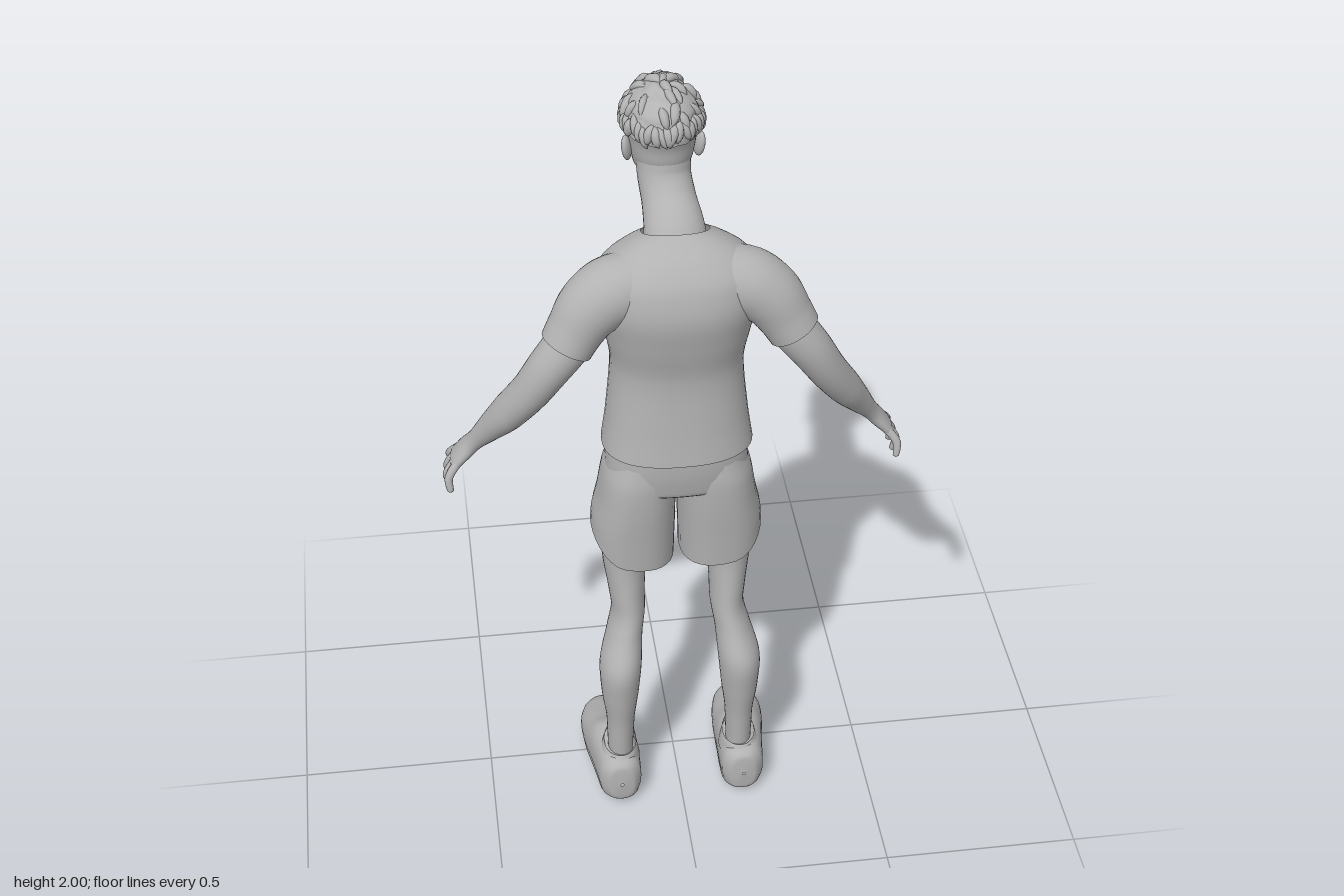
import * as THREE from 'three';

const V = (x, y, z) => new THREE.Vector3(x, y, z);
const UP = V(0, 1, 0);
const FORWARD = V(0, 0, -1); // the figure faces -z
const HX = -0.012;           // head centre line
const material = new THREE.MeshStandardMaterial({ color: 0xb2b2b2, side: THREE.DoubleSide });
material.name = 'plain grey';

// Smooth skin through oval sections [x, y, z, radiusU, radiusV].
// With axis given all sections are parallel, otherwise they follow the path.
function loft(name, rows, { axis = null, sides = 32, steps = 5, power = 2, warp = null } = {}) {
  const path = new THREE.CatmullRomCurve3(rows.map(r => V(r[0], r[1], r[2])));
  const radii = new THREE.CatmullRomCurve3(rows.map(r => V(r[3], r[4], 0)));
  const count = (rows.length - 1) * steps;
  const round = c => Math.sign(c) * Math.pow(Math.abs(c), 2 / power);
  const pos = [], index = [];
  for (let i = 0; i <= count; i++) {
    const k = i / count, c = path.getPoint(k), r = radii.getPoint(k);
    const t = axis ? axis.clone() : path.getTangent(k);
    const ref = axis === FORWARD ? V(0, 1, 0) : V(0, 0, 1);
    const u = ref.addScaledVector(t, -ref.dot(t)).normalize();
    const v = t.clone().cross(u);
    for (let j = 0; j < sides; j++) {
      const a = (j / sides) * Math.PI * 2;
      const p = c.clone()
        .addScaledVector(u, Math.max(r.x, 0.0005) * round(Math.cos(a)))
        .addScaledVector(v, Math.max(r.y, 0.0005) * round(Math.sin(a)));
      if (warp) warp(p, k);
      pos.push(p.x, p.y, p.z);
      if (i < count) {
        const n = (j + 1) % sides, A = i * sides + j, B = i * sides + n;
        index.push(A, B, B + sides, A, B + sides, A + sides);
      }
    }
  }
  const g = new THREE.BufferGeometry();
  g.setAttribute('position', new THREE.Float32BufferAttribute(pos, 3));
  g.setIndex(index);
  g.computeVertexNormals();
  const m = new THREE.Mesh(g, material);
  m.name = name;
  return m;
}

function ball(name, x, y, z, sx, sy, sz) {
  const m = new THREE.Mesh(new THREE.SphereGeometry(1, 16, 12), material);
  m.name = name;
  m.position.set(x, y, z);
  m.scale.set(sx, sy, sz);
  return m;
}

function buildHead() {
  const head = new THREE.Group();
  head.name = 'head';
  const bump = (p, x, y, w, h) => Math.exp(-(((p.x - HX - x) / w) ** 2) - ((p.y - y) / h) ** 2);
  // Skull and face, with eye sockets, brow, lips and chin pushed in or out
  head.add(loft('face', [
    [HX, 1.733, -0.15, 0.005, 0.005], [HX, 1.738, -0.152, 0.043, 0.034], [HX, 1.755, -0.142, 0.06, 0.052],
    [HX, 1.785, -0.12, 0.083, 0.067], [HX, 1.82, -0.107, 0.097, 0.074], [HX, 1.86, -0.104, 0.101, 0.08],
    [HX, 1.9, -0.1, 0.108, 0.084], [HX, 1.945, -0.1, 0.1, 0.078], [HX, 1.975, -0.1, 0.065, 0.05],
    [HX, 1.983, -0.1, 0.003, 0.003],
  ], {
    axis: UP, sides: 64, steps: 8, power: 2.15, warp: p => {
      if (p.z > -0.14) return;
      for (const s of [-1, 1]) {
        p.z += 0.014 * bump(p, s * 0.032, 1.86, 0.017, 0.012);
        p.z -= 0.006 * bump(p, s * 0.032, 1.884, 0.022, 0.009);
      }
      p.z -= 0.007 * bump(p, 0, 1.79, 0.02, 0.006) + 0.006 * bump(p, 0, 1.777, 0.018, 0.005);
      p.z -= 0.005 * bump(p, 0, 1.752, 0.02, 0.01);
    },
  }));
  head.add(loft('nose', [
    [HX, 1.88, -0.198, 0.004, 0.005], [HX, 1.86, -0.205, 0.009, 0.009], [HX, 1.835, -0.212, 0.014, 0.013],
    [HX, 1.822, -0.207, 0.013, 0.016], [HX, 1.814, -0.2, 0.002, 0.003],
  ], { axis: V(0, -1, 0), sides: 16 }));
  for (const s of [-1, 1]) {
    head.add(ball('eye', HX + s * 0.032, 1.86, -0.178, 0.013, 0.009, 0.011));
    const ear = ball('ear', HX + s * 0.085, 1.838, -0.08, 0.011, 0.034, 0.02);
    ear.rotation.set(0.2, s * 0.35, s * -0.15);
    head.add(ear);
  }
  return head;
}

function buildHair() {
  const hair = new THREE.Group();
  hair.name = 'hair';
  let seed = 7;
  const rand = () => (seed = (seed * 16807) % 2147483647) / 2147483647;
  // Wavy cap
  const g = new THREE.SphereGeometry(1, 64, 32, 0, Math.PI * 2, 0, Math.PI * 0.53);
  const p = g.attributes.position;
  for (let i = 0; i < p.count; i++) {
    const [x, y, z] = [p.getX(i), p.getY(i), p.getZ(i)];
    const r = 1 + 0.025 * Math.sin(9 * x + 5 * z) * Math.cos(8 * z - 4 * y) + 0.015 * Math.sin(17 * x - 13 * z + 6 * y);
    p.setXYZ(i, HX + x * r * 0.091, 1.893 + y * r * 0.098, -0.102 + z * r * 0.115);
  }
  g.computeVertexNormals();
  const cap = new THREE.Mesh(g, material);
  cap.name = 'hairCap';
  hair.add(cap);
  // Short locks, hanging at the rim and swept over the crown
  for (let i = 0; i < 72; i++) {
    const rim = i < 40;
    const a = rim ? (i / 40) * Math.PI * 2 : rand() * Math.PI * 2;
    const e = rim ? 0.05 + rand() * 0.2 : 0.35 + rand() * 1.0;
    const at = (el, k, turn) => [HX + 0.091 * k * Math.cos(el) * Math.cos(a + turn),
      1.893 + 0.098 * k * Math.sin(el), -0.102 + 0.115 * k * Math.cos(el) * Math.sin(a + turn)];
    const turn = (rand() - 0.5) * 0.4, w = 0.009 + rand() * 0.004;
    hair.add(loft('lock', [
      [...at(e + 0.3, 0.96, -turn), 0.003, 0.003], [...at(e + 0.1, 1.01, 0), w, w],
      [...at(e - 0.1, 1.02, turn * 0.5), w * 0.8, w * 0.8], [...at(e - 0.25, 1.0, turn), 0.001, 0.001],
    ], { sides: 8, steps: 3 }));
  }
  return hair;
}

function buildArm(s) {
  const arm = new THREE.Group();
  arm.name = s > 0 ? 'leftArmX' : 'rightArmX';
  const add = (name, rows, opts) => arm.add(loft(name, rows.map(([x, ...r]) => [s * x, ...r]), opts));
  add('sleeve', [
    [0.09, 1.595, 0.115, 0.075, 0.08], [0.16, 1.58, 0.122, 0.082, 0.083], [0.21, 1.545, 0.132, 0.076, 0.078],
    [0.245, 1.495, 0.14, 0.068, 0.068], [0.268, 1.455, 0.146, 0.066, 0.064],
  ]);
  add('armSkin', [
    [0.22, 1.52, 0.138, 0.05, 0.05], [0.268, 1.452, 0.145, 0.057, 0.055], [0.31, 1.395, 0.145, 0.056, 0.052],
    [0.355, 1.32, 0.128, 0.053, 0.047], [0.405, 1.24, 0.092, 0.05, 0.043], [0.45, 1.17, 0.055, 0.037, 0.033],
    [0.49, 1.11, 0.025, 0.028, 0.022], [0.515, 1.075, 0.01, 0.037, 0.02], [0.538, 1.045, 0.004, 0.04, 0.016],
    [0.546, 1.028, 0.002, 0.028, 0.008], [0.548, 1.024, 0.002, 0.001, 0.001],
  ]);
  // Fingers: base, knuckle and tip
  const fingers = {
    thumb: [[0.505, 1.09, -0.005], [0.492, 1.075, -0.045], [0.478, 1.058, -0.068]],
    indexFinger: [[0.533, 1.055, -0.023], [0.552, 1.025, -0.045], [0.55, 0.998, -0.066]],
    middleFinger: [[0.54, 1.048, -0.006], [0.56, 1.01, -0.018], [0.556, 0.975, -0.028]],
    ringFinger: [[0.54, 1.045, 0.013], [0.563, 1.008, 0.016], [0.558, 0.972, 0.012]],
    littleFinger: [[0.535, 1.05, 0.03], [0.56, 1.015, 0.046], [0.558, 0.982, 0.055]],
  };
  for (const [name, [a, b, c]] of Object.entries(fingers)) {
    const end = c.map((q, i) => q + (c[i] - b[i]) * 0.15);
    add(name, [[...a, 0.012, 0.011], [...b, 0.0105, 0.0105], [...c, 0.008, 0.008], [...end, 0.001, 0.001]],
      { sides: 12 });
  }
  return arm;
}

function buildLeg(s) {
  const leg = new THREE.Group();
  leg.name = s > 0 ? 'leftLegX' : 'rightLegX';
  const add = (name, rows, opts) => leg.add(loft(name, rows.map(([x, ...r]) => [s * x, ...r]), opts));
  // Shorts leg, with the hem rising at the outer side
  add('shortsLeg', [
    [0.111, 0.772, 0.055, 0.119, 0.104], [0.108, 0.86, 0.06, 0.121, 0.103], [0.101, 0.95, 0.066, 0.123, 0.097],
    [0.094, 1.03, 0.07, 0.122, 0.09], [0.085, 1.09, 0.07, 0.115, 0.075],
  ], {
    axis: UP, power: 2.4, warp: (p, k) => {
      const out = (s * p.x - 0.111) / 0.104;
      p.y += Math.max(0, 1 - k * 2) * (0.06 * Math.max(0, out) ** 3 + 0.012 * out);
    },
  });
  add('legSkin', [
    [0.158, 0.1, 0.14, 0.04, 0.032], [0.158, 0.18, 0.14, 0.047, 0.034], [0.157, 0.26, 0.143, 0.051, 0.037],
    [0.157, 0.35, 0.145, 0.063, 0.048], [0.154, 0.45, 0.142, 0.073, 0.054], [0.14, 0.53, 0.112, 0.068, 0.046],
    [0.128, 0.59, 0.092, 0.068, 0.043], [0.13, 0.66, 0.078, 0.072, 0.047], [0.132, 0.75, 0.062, 0.08, 0.057],
    [0.12, 0.9, 0.06, 0.09, 0.07],
  ], { axis: UP });
  // Shoe with a flat sole and raised toe
  add('shoe', [
    [0.163, 0.075, 0.222, 0.004, 0.004], [0.163, 0.075, 0.217, 0.055, 0.034], [0.164, 0.076, 0.19, 0.073, 0.055],
    [0.167, 0.076, 0.13, 0.081, 0.06], [0.172, 0.076, 0.07, 0.086, 0.064], [0.177, 0.065, 0.01, 0.068, 0.068],
    [0.181, 0.056, -0.05, 0.053, 0.066], [0.181, 0.05, -0.1, 0.041, 0.053], [0.179, 0.048, -0.132, 0.025, 0.031],
    [0.178, 0.047, -0.143, 0.002, 0.002],
  ], {
    axis: FORWARD, power: 2.5, warp: p => {
      const sole = Math.max(0, -p.z - 0.05) * 0.25;
      p.y = Math.max(p.y, sole);
      if (p.y < 0.03) p.x += (p.x - s * 0.173) * 0.08; // flared sole edge
    },
  });
  add('shoeCollar', [
    [0.161, 0.11, 0.135, 0.07, 0.054], [0.16, 0.145, 0.137, 0.063, 0.047], [0.159, 0.162, 0.135, 0.057, 0.042],
  ], { axis: UP, warp: (p, k) => { p.y += k * 0.25 * Math.max(-0.03, 0.13 - p.z); } });
  add('shoeTongue', [
    [0.162, 0.13, 0.06, 0.014, 0.03], [0.161, 0.165, 0.075, 0.011, 0.026], [0.16, 0.192, 0.08, 0.006, 0.016],
    [0.16, 0.197, 0.08, 0.001, 0.002],
  ], { axis: UP, sides: 16 });
  return leg;
}

export function createModel() {
  const model = new THREE.Group();
  model.name = 'standingMan';
  model.add(buildHead(), buildHair());
  model.add(loft('neck', [
    [0, 1.62, 0.07, 0.06, 0.075], [0, 1.68, 0.035, 0.058, 0.072], [-0.006, 1.73, -0.025, 0.059, 0.064],
    [HX, 1.775, -0.06, 0.063, 0.063], [HX, 1.83, -0.078, 0.068, 0.066],
  ]));
  // Shirt body, its collar lower at the chest than at the nape
  const dip = p => { p.y += (p.z - 0.08) * 0.35 * THREE.MathUtils.clamp((p.y - 1.6) / 0.1, 0, 1); };
  model.add(loft('shirt', [
    [0, 1.118, 0.075, 0.136, 0.185], [0, 1.2, 0.072, 0.13, 0.173], [0, 1.35, 0.068, 0.126, 0.16],
    [0, 1.45, 0.078, 0.136, 0.174], [0, 1.54, 0.088, 0.14, 0.19], [0, 1.61, 0.088, 0.126, 0.19],
    [0, 1.655, 0.072, 0.1, 0.155], [0, 1.688, 0.052, 0.074, 0.105], [0, 1.7, 0.045, 0.062, 0.08],
  ], { axis: UP, sides: 48, power: 2.4, warp: dip }));
  model.add(loft('shortsWaist', [
    [0, 0.985, 0.068, 0.09, 0.12], [0, 1.01, 0.068, 0.12, 0.178], [0, 1.07, 0.07, 0.128, 0.175],
    [0, 1.13, 0.072, 0.128, 0.166], [0, 1.16, 0.072, 0.12, 0.155],
  ], { axis: UP, sides: 48, power: 2.5 }));
  for (const s of [-1, 1]) model.add(buildArm(s), buildLeg(s));
  return model;
}
